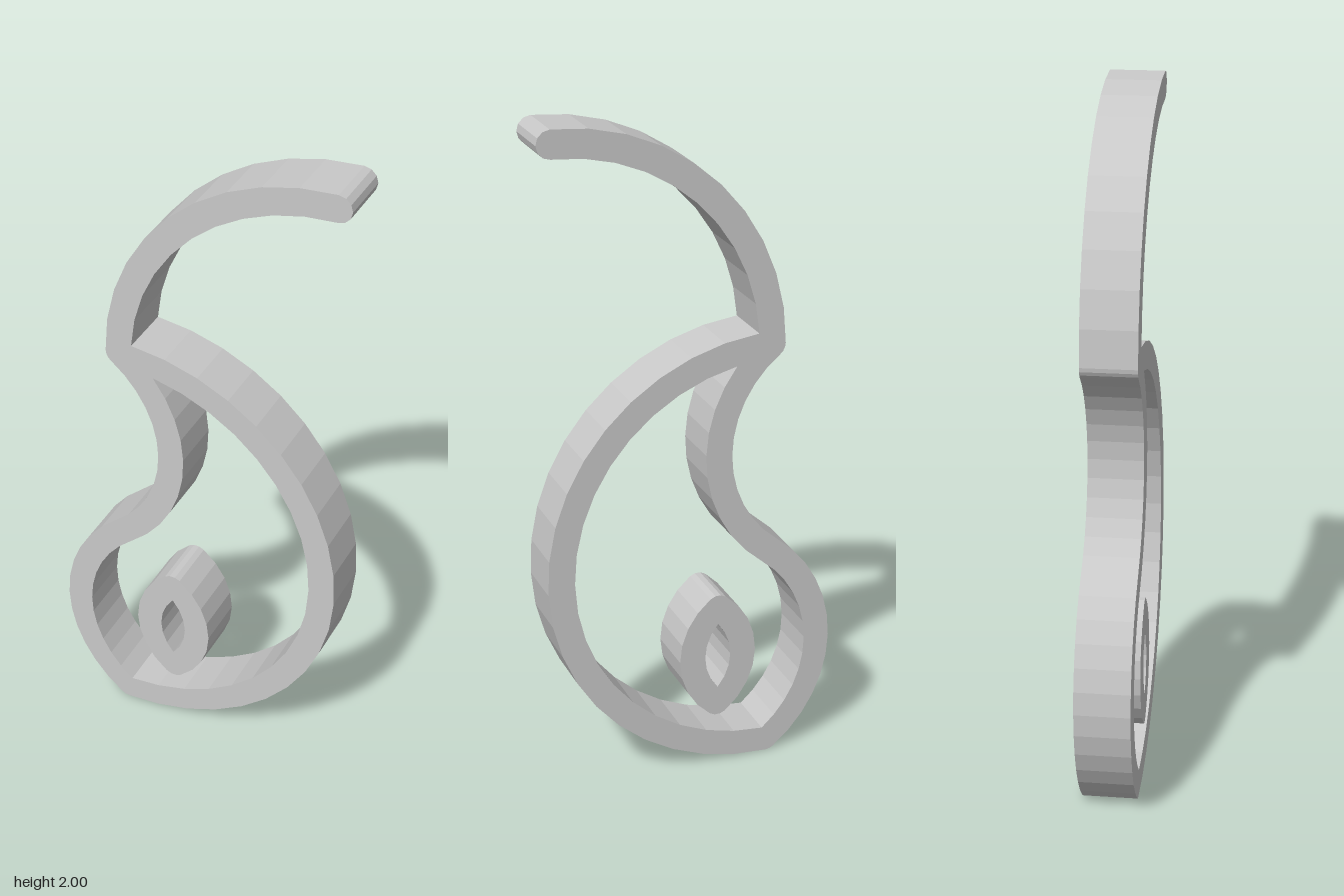
import * as THREE from 'three';

const DEPTH = 0.16;
const RAD = Math.PI / 180;

// Points along an arc: centre, radius, start and end angle in degrees, segments.
function arc(cx, cy, r, from, to, n) {
  return Array.from({ length: n + 1 }, (_, i) => {
    const a = (from + ((to - from) * i) / n) * RAD;
    return new THREE.Vector2(cx + r * Math.cos(a), cy + r * Math.sin(a));
  });
}

// Joins arcs into one loop, dropping repeated points.
function loop(...arcs) {
  const pts = arcs.flat().filter((p, i, all) => i === 0 || p.distanceTo(all[i - 1]) > 0.002);
  if (pts[0].distanceTo(pts[pts.length - 1]) < 0.002) pts.pop();
  return pts;
}

function band(name, outline, hole, material) {
  const shape = new THREE.Shape(outline);
  shape.holes.push(new THREE.Path(hole));
  const geometry = new THREE.ExtrudeGeometry(shape, { depth: DEPTH, bevelEnabled: false });
  geometry.translate(0, 0, -DEPTH / 2);
  const mesh = new THREE.Mesh(geometry, material);
  mesh.name = name;
  return mesh;
}

export function createModel() {
  const group = new THREE.Group();
  group.name = 'curlOrnament';
  const grey = new THREE.MeshStandardMaterial({ color: 0xc8c8c8 });
  grey.name = 'lightGrey';

  // Angle at which the S-curve arcs meet the corners (3-4-5 triangle).
  const A = 53.13;

  // Curved drop with the sweeping tail on top
  const outline = loop(
    arc(0.4, 1.32, 0.68, 90, 180, 10), // tail, outer edge
    arc(-0.24, 1.32, 0.04, 180, 180 + A, 3), // neck corner
    arc(-0.48, 1.0, 0.36, A, -A, 12), // waist
    arc(0, 0.36, 0.44, 180 - A, 180 + A, 12), // lower bulge
    arc(-0.24, 0.04, 0.04, 180 + A, 270, 2), // foot corner
    arc(-0.24, 0.68, 0.68, -90, 86.53, 20), // big bow
    arc(0.4, 1.32, 0.6, 176.29, 90, 10), // tail, inner edge
    arc(0.4, 1.96, 0.04, -90, 90, 6) // rounded tail end
  );
  const opening = loop(
    arc(-0.24, 0.68, 0.6, -88.71, 79.72, 19),
    arc(-0.48, 1.0, 0.44, 37.92, -A, 10),
    arc(0, 0.36, 0.36, 180 - A, 231, 12)
  );
  group.add(band('curlFrame', outline, opening, grey));

  // Small pointed oval ring
  const ringOutline = loop(
    arc(-0.2, 0.36, 0.24, -A, A, 8),
    arc(-0.08, 0.52, 0.04, A, 180 - A, 3),
    arc(0.04, 0.36, 0.24, 180 - A, 180 + A, 8),
    arc(-0.08, 0.2, 0.04, 180 + A, 360 - A, 3)
  );
  const ringOpening = loop(
    arc(-0.2, 0.36, 0.16, -41.41, 41.41, 6),
    arc(0.04, 0.36, 0.16, 138.59, 221.41, 6)
  );
  group.add(band('ovalRing', ringOutline, ringOpening, grey));

  return group;
}
